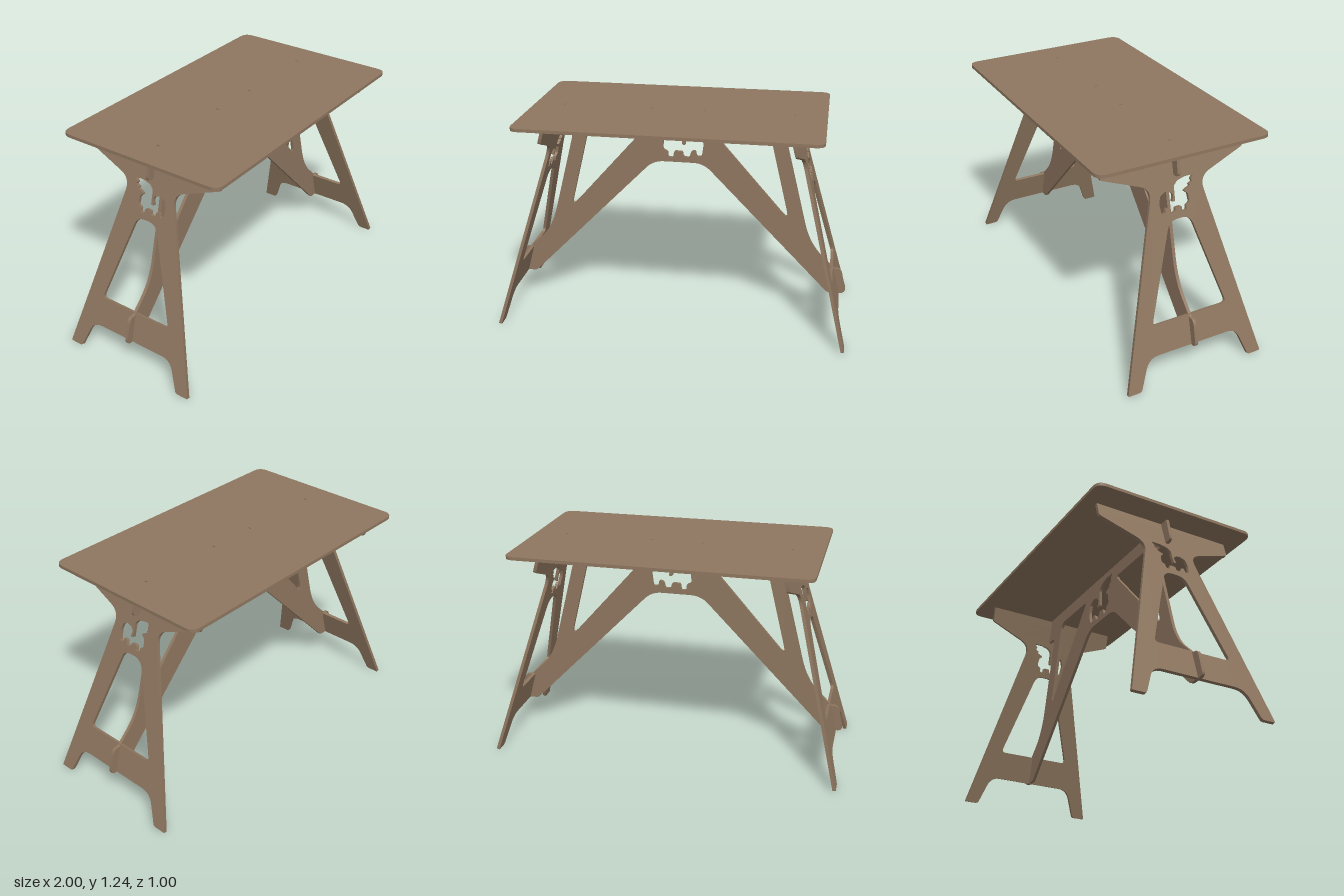
import * as THREE from 'three';
import { toCreasedNormals } from 'three/addons/utils/BufferGeometryUtils.js';

const SHEET = 0.018;                    // plywood thickness
const TILT = THREE.MathUtils.degToRad(15); // lean of the end frames
const UNDERSIDE = 1.217;                // underside of the table top

// Closed outline through [x, y, cut] corners; cut is the length rounded off each side.
function outline(points, path = new THREE.Shape()) {
  const corners = points.map(([x, y]) => new THREE.Vector2(x, y));
  const n = corners.length;
  corners.forEach((c, i) => {
    const prev = corners[(i + n - 1) % n], next = corners[(i + 1) % n];
    const cut = points[i][2] ?? 0;
    const toward = (p) => {
      const d = c.distanceTo(p);
      return c.clone().lerp(p, Math.min(cut, d * 0.49) / d);
    };
    const a = toward(prev), b = toward(next);
    if (i === 0) path.moveTo(a.x, a.y); else path.lineTo(a.x, a.y);
    if (cut > 0) path.quadraticCurveTo(c.x, c.y, b.x, b.y);
  });
  path.closePath();
  return path;
}

const hole = (points) => outline(points, new THREE.Path());

// Completes a half outline given on the + side with its mirror image.
const mirrored = (half) => [...half, ...half.map(([x, y, r]) => [-x, y, r]).reverse()];

// Sheet cut from a shape, centred on its thickness.
function sheet(shape) {
  const g = new THREE.ExtrudeGeometry(shape, { depth: SHEET, bevelEnabled: false, curveSegments: 8 });
  g.translate(0, 0, -SHEET / 2);
  return toCreasedNormals(g, 0.5);
}

// Decorative winged-animal opening, relative to its top centre.
const ORNAMENT = [
  [-0.14, 0], [-0.07, 0], [-0.01, -0.015], [0.018, -0.045], [0.02, -0.15],
  [0.045, -0.15], [0.03, -0.105], [0.05, -0.08], [0.09, -0.07], [0.13, -0.09],
  [0.145, -0.14], [0.135, -0.215], [0.105, -0.215], [0.1, -0.18], [0.075, -0.185],
  [0.063, -0.225], [0.028, -0.22], [0.025, -0.19], [-0.025, -0.19], [-0.03, -0.23],
  [-0.062, -0.225], [-0.06, -0.195], [-0.09, -0.18], [-0.085, -0.12], [-0.055, -0.095],
  [-0.11, -0.07], [-0.095, -0.06], [-0.13, -0.045], [-0.115, -0.03],
];
const ornament = (top, scale, stretch = 1) =>
  hole(ORNAMENT.map(([x, y]) => [x * scale, (top + y * scale) * stretch, 0.012 * scale]));

export function createModel() {
  const model = new THREE.Group();
  const wood = new THREE.MeshStandardMaterial({ color: 0x8f7760 });
  wood.name = 'brown wood';

  const add = (name, geometry) => {
    const mesh = new THREE.Mesh(geometry, wood);
    mesh.name = name;
    model.add(mesh);
    return mesh;
  };

  // Table top with four small slots along the middle
  const top = outline(mirrored([[0.83, -0.5, 0.055], [0.83, 0.5, 0.055]]));
  for (const x of [-0.655, -0.15, 0.145, 0.65]) {
    top.holes.push(hole([[x - 0.005, -0.01], [x + 0.005, -0.01], [x + 0.005, 0.01], [x - 0.005, 0.01]]));
  }
  add('tableTop', sheet(top).rotateX(-Math.PI / 2)).position.y = UNDERSIDE + SHEET / 2;

  // Long central brace running between the end frames
  const brace = outline(mirrored([
    [0.145, 0.925, 0.06], [0.885, 0.168, 0.015], [0.995, 0.168, 0.035],
    [0.96, 0.322, 0.04], [0.92, 0.322, 0.01], [0.77, 0.465, 0.13],
    [0.615, 1.072, 0.035], [0.758, 1.072, 0.03], [0.728, UNDERSIDE, 0],
  ]));
  const window = [[0.515, 1.135, 0.04], [0.178, 1.135, 0.035], [0.645, 0.605, 0.065]];
  brace.holes.push(hole(window), hole(window.map(([x, y, r]) => [-x, y, r])));
  brace.holes.push(ornament(1.18, 1));
  add('centreBrace', sheet(brace));

  // Leaning end frames; heights are stretched so they stay true once tilted
  const stretch = 1 / Math.cos(TILT);
  const stretched = (points) => points.map(([x, y, r]) => [x, y * stretch, r]);
  const frame = outline(stretched(mirrored([
    [0.27, 0.166, 0.06], [0.335, 0, 0.015], [0.415, 0, 0.008],
    [0.142, 1.024, 0.07], [0.418, 1.127, 0.012], [0.418, 1.213, 0],
  ])));
  frame.holes.push(hole(stretched(mirrored([[0.228, 0.329, 0.03], [0.062, 0.842, 0.05]]))));
  frame.holes.push(ornament(1.045, 0.75, stretch));
  for (const side of [1, -1]) {
    const leg = add(side > 0 ? 'leftEndFrame' : 'rightEndFrame',
      sheet(frame).rotateY(-Math.PI / 2).rotateZ(side * TILT));
    leg.position.set(side * 0.991, 0.0023, 0);
  }

  return model;
}
